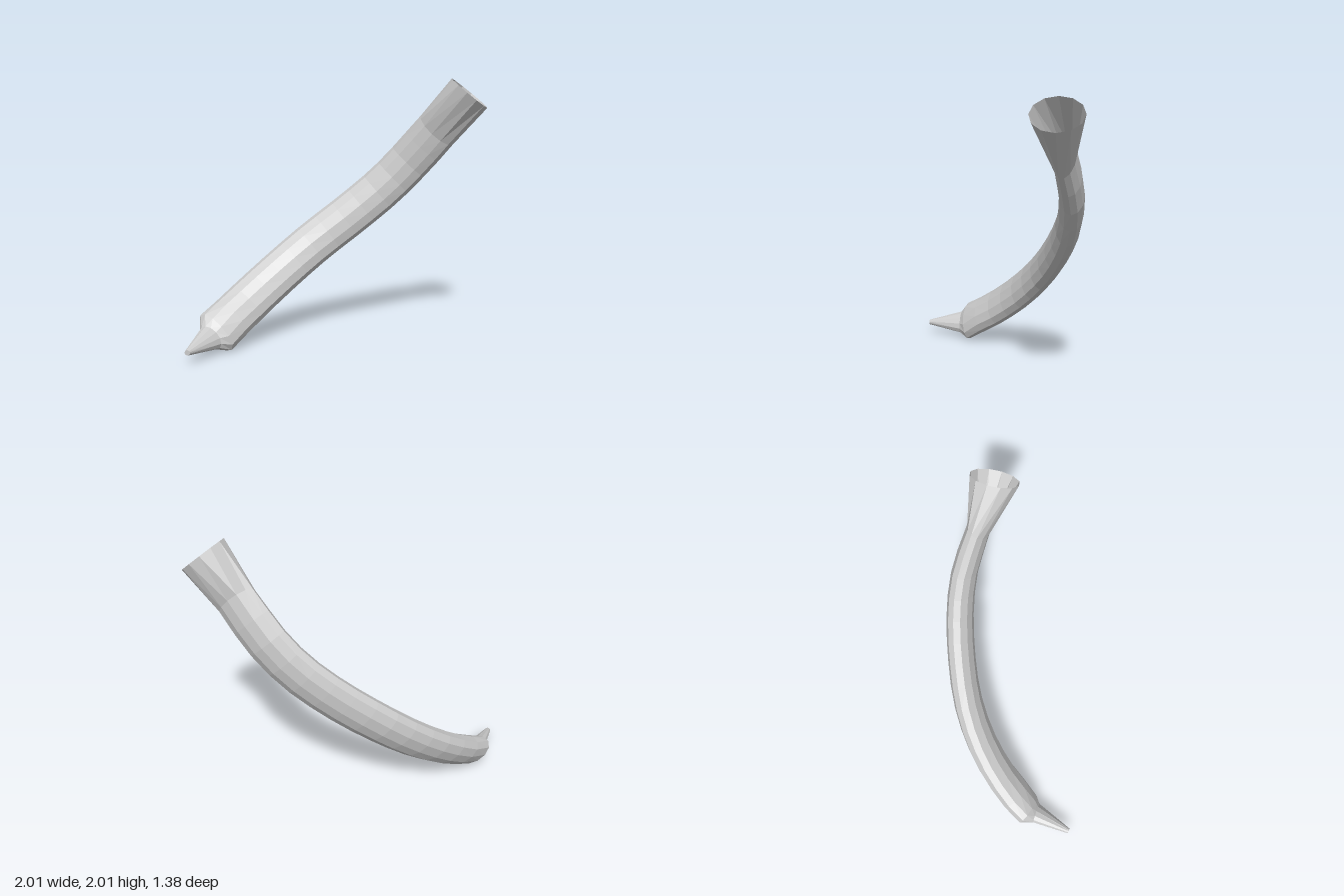
import * as THREE from 'three';

const SIDES = 12;
const V = (x, y, z) => new THREE.Vector3(x, y, z);

// Oval ring: wide axis lies level with the front plane, thin axis follows the bend
function ring(center, tangent, wide, thin) {
  const t = tangent.clone().normalize();
  const w = Math.hypot(t.x, t.y) < 0.01 ? V(1, -1, 0) : V(t.y, -t.x, 0);
  w.normalize();
  const n = w.clone().cross(t);
  return Array.from({ length: SIDES }, (_, j) => {
    const a = (j / SIDES) * Math.PI * 2;
    return center.clone().addScaledVector(w, wide * Math.cos(a)).addScaledVector(n, thin * Math.sin(a));
  });
}

// Skin a list of rings; the first ring can be closed with a flat end
function skin(name, rings, material, closeStart = false) {
  const pos = rings.flat().flatMap((p) => [p.x, p.y, p.z]);
  const index = [];
  for (let i = 0; i < rings.length - 1; i++) {
    for (let j = 0; j < SIDES; j++) {
      const a = i * SIDES + j, b = i * SIDES + ((j + 1) % SIDES);
      index.push(a, a + SIDES, b, b, a + SIDES, b + SIDES);
    }
  }
  if (closeStart) for (let j = 1; j < SIDES - 1; j++) index.push(0, j, j + 1);
  const geo = new THREE.BufferGeometry();
  geo.setAttribute('position', new THREE.Float32BufferAttribute(pos, 3));
  geo.setIndex(index);
  geo.computeVertexNormals();
  const mesh = new THREE.Mesh(geo, material);
  mesh.name = name;
  return mesh;
}

export function createModel() {
  const group = new THREE.Group();
  group.name = 'curvedHorn';
  const mat = new THREE.MeshStandardMaterial({ color: 0xcccccc, flatShading: true, side: THREE.DoubleSide });

  // Curved, flattened body, its end rings turned a little further than the path
  const curve = new THREE.CatmullRomCurve3([
    V(-0.875, 0.133, 0.325), V(-0.74, 0.295, 0.07), V(-0.555, 0.495, -0.167), V(-0.325, 0.715, -0.355),
    V(-0.03, 0.96, -0.5), V(0.21, 1.172, -0.577), V(0.4, 1.37, -0.597), V(0.615, 1.61, -0.56),
  ]);
  const steps = 14;
  const body = [ring(curve.getPointAt(0), V(0.3, 0.3, -0.9), 0.174, 0.098)];
  for (let i = 1; i < steps; i++) {
    const u = i / steps;
    body.push(ring(curve.getPointAt(u), curve.getTangentAt(u), 0.171, 0.106 - 0.022 * u));
  }
  body.push(ring(curve.getPointAt(1), V(0.55, 0.6, 0.45), 0.168, 0.085));
  group.add(skin('body', body, mat));

  // Pointed spike and the collar that joins it to the body
  const back = V(0, 0, -1);
  const collar = ring(V(-0.885, 0.114, 0.4), back, 0.1, 0.064);
  const tip = ring(V(-0.93, 0.09, 0.69), back, 0.02, 0.02);
  group.add(skin('spike', [tip, collar], mat, true));
  group.add(skin('collar', [collar, body[0]], mat));

  // Flared open mouth
  const mouth = ring(V(0.863, 1.89, -0.52), V(0.63, 0.77, 0), 0.175, 0.174);
  group.add(skin('mouth', [body[steps], mouth], mat));

  return group;
}
